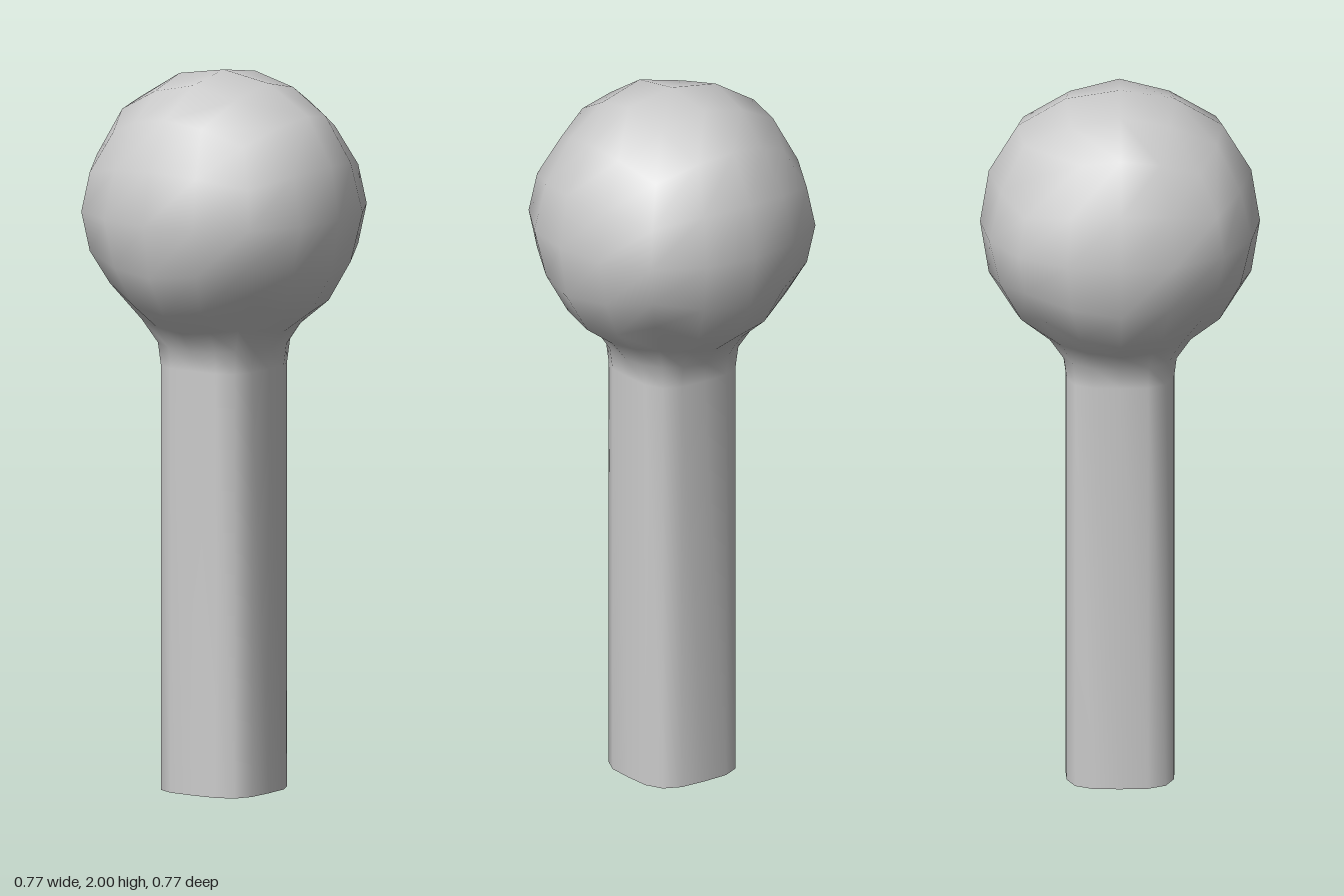
import * as THREE from 'three';
import { mergeGeometries, mergeVertices } from 'three/addons/utils/BufferGeometryUtils.js';

const CENTRE_Y = 1.615;
const material = new THREE.MeshStandardMaterial({ color: 0xcccccc });

// Moves a point of a 2-unit cube onto the ball, slightly fuller along the cube edges
function ballPoint(x, y, z) {
  const p = new THREE.Vector3(...[x, y, z].map((c) => Math.tan((c * Math.PI) / 4)));
  const [small, mid] = p.toArray().map(Math.abs).sort((a, b) => a - b);
  p.setLength(0.384 * (1 + 0.035 * mid - 0.05 * small));
  p.y += CENTRE_Y;
  // The lowest ring is pulled outwards a little where the neck begins
  if (y < -0.99) p.set(p.x * 1.03, p.y + 0.018, p.z * 1.03);
  return p;
}

// Sixteen steps around a square, from corner to corner
const square = [];
for (let side = 0; side < 4; side++) {
  for (let i = 0; i < 4; i++) {
    let [u, w] = [1, -1 + i / 2];
    for (let turn = 0; turn < side; turn++) [u, w] = [-w, u];
    square.push([u, w]);
  }
}

// Rounded-square section of the shaft
function shaftPoint(u, w, y) {
  const section = (a) => Math.sign(a) * [0, 0.077, 0.15][Math.round(Math.abs(a) * 2)];
  const m = Math.min(Math.abs(u), Math.abs(w));
  const shrink = m > 0.9 ? 0.827 : m > 0.4 ? 0.98 : 1;
  return new THREE.Vector3(section(u) * shrink, y, section(w) * shrink);
}

function fromPoints(points, index) {
  const g = new THREE.BufferGeometry().setFromPoints(points);
  g.setIndex(index);
  return g;
}

// Ball made from a cube, without its underside
function ballGeometry() {
  const box = new THREE.BoxGeometry(2, 2, 2, 4, 4, 4);
  const pos = box.attributes.position;
  const old = box.index.array;
  const index = [];
  for (let i = 0; i < old.length; i += 3) {
    const tri = [old[i], old[i + 1], old[i + 2]];
    if (!tri.every((v) => pos.getY(v) < -0.99)) index.push(...tri);
  }
  const points = [];
  for (let i = 0; i < pos.count; i++) points.push(ballPoint(pos.getX(i), pos.getY(i), pos.getZ(i)));
  return fromPoints(points, index);
}

// Neck and shaft as rings running down from the ball
function shaftGeometry() {
  const rings = [square.map(([u, w]) => ballPoint(u, -1, w))];
  // [share of the ball ring's width, height, rise at the corners]
  for (const [flare, y, rise] of [[0.37, 1.29, 0.02], [0.06, 1.235, 0.01], [0, 1.18, 0], [0, 0, 0]]) {
    rings.push(square.map(([u, w], k) => {
      const p = shaftPoint(u, w, 0).lerp(rings[0][k], flare);
      p.y = y + rise * Math.min(Math.abs(u), Math.abs(w));
      return p;
    }));
  }
  const index = [];
  for (let r = 0; r < rings.length - 1; r++) {
    for (let k = 0; k < 16; k++) {
      const n = (k + 1) % 16;
      const [a, b, c, d] = [r * 16 + k, r * 16 + n, r * 16 + 16 + k, r * 16 + 16 + n];
      index.push(a, b, c, b, d, c);
    }
  }
  return fromPoints(rings.flat(), index);
}

// Flat underside of the shaft
function baseGeometry() {
  const points = [new THREE.Vector3(), ...square.map(([u, w]) => shaftPoint(u, w, 0))];
  const index = [];
  for (let k = 0; k < 16; k++) index.push(0, 1 + k, 1 + ((k + 1) % 16));
  return fromPoints(points, index);
}

export function createModel() {
  const group = new THREE.Group();
  group.name = 'ballTopPost';
  const body = mergeVertices(mergeGeometries([ballGeometry(), shaftGeometry()]), 1e-4);
  for (const [name, geometry] of [['ballAndShaft', body], ['shaftBase', baseGeometry()]]) {
    geometry.computeVertexNormals();
    const mesh = new THREE.Mesh(geometry, material);
    mesh.name = name;
    group.add(mesh);
  }
  return group;
}
